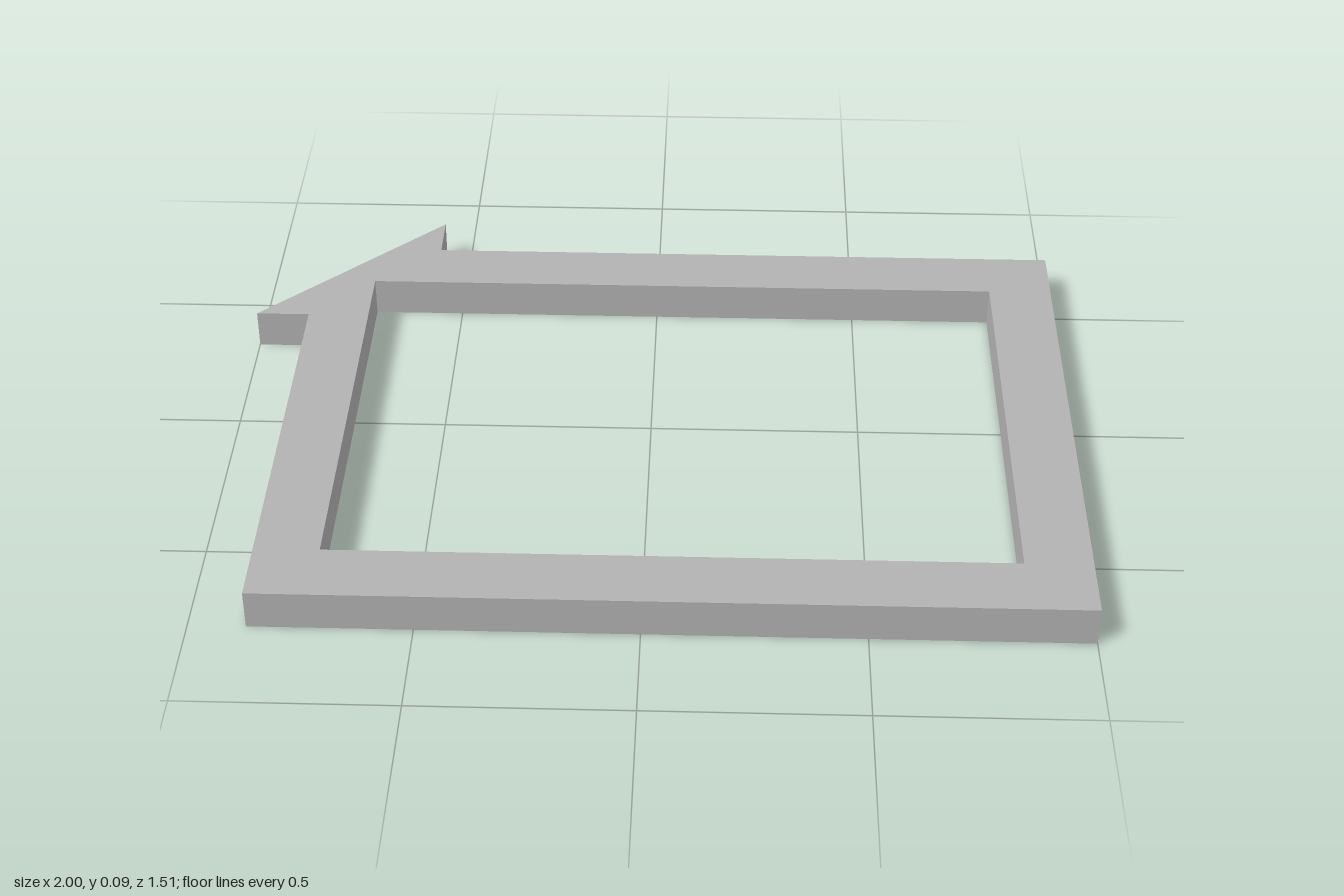
import * as THREE from 'three';

const HEIGHT = 0.095;

// Converts [x, z] plan points to 2D points (shape y is -z)
const plan = (points) => points.map(([x, z]) => new THREE.Vector2(x, -z));

export function createModel() {
  const group = new THREE.Group();
  group.name = 'frameWithCutCorner';
  const grey = new THREE.MeshStandardMaterial({ color: 0xb2b2b2 });
  grey.name = 'grey';

  // Outer outline, with a flared diagonal across the back right corner
  const outline = new THREE.Shape(plan([
    [-0.87, 0.755], [1, 0.755], [1, -0.63], [-0.565, -0.63],
    [-0.565, -0.755], [-1, -0.325], [-0.87, -0.325],
  ]));

  // Rectangular opening
  outline.holes.push(new THREE.Path(plan([
    [-0.72, 0.6], [-0.72, -0.48], [0.845, -0.48], [0.845, 0.6],
  ])));

  const geometry = new THREE.ExtrudeGeometry(outline, { depth: HEIGHT, bevelEnabled: false });
  geometry.rotateX(-Math.PI / 2);
  const frame = new THREE.Mesh(geometry, grey);
  frame.name = 'frame';
  group.add(frame);
  return group;
}
